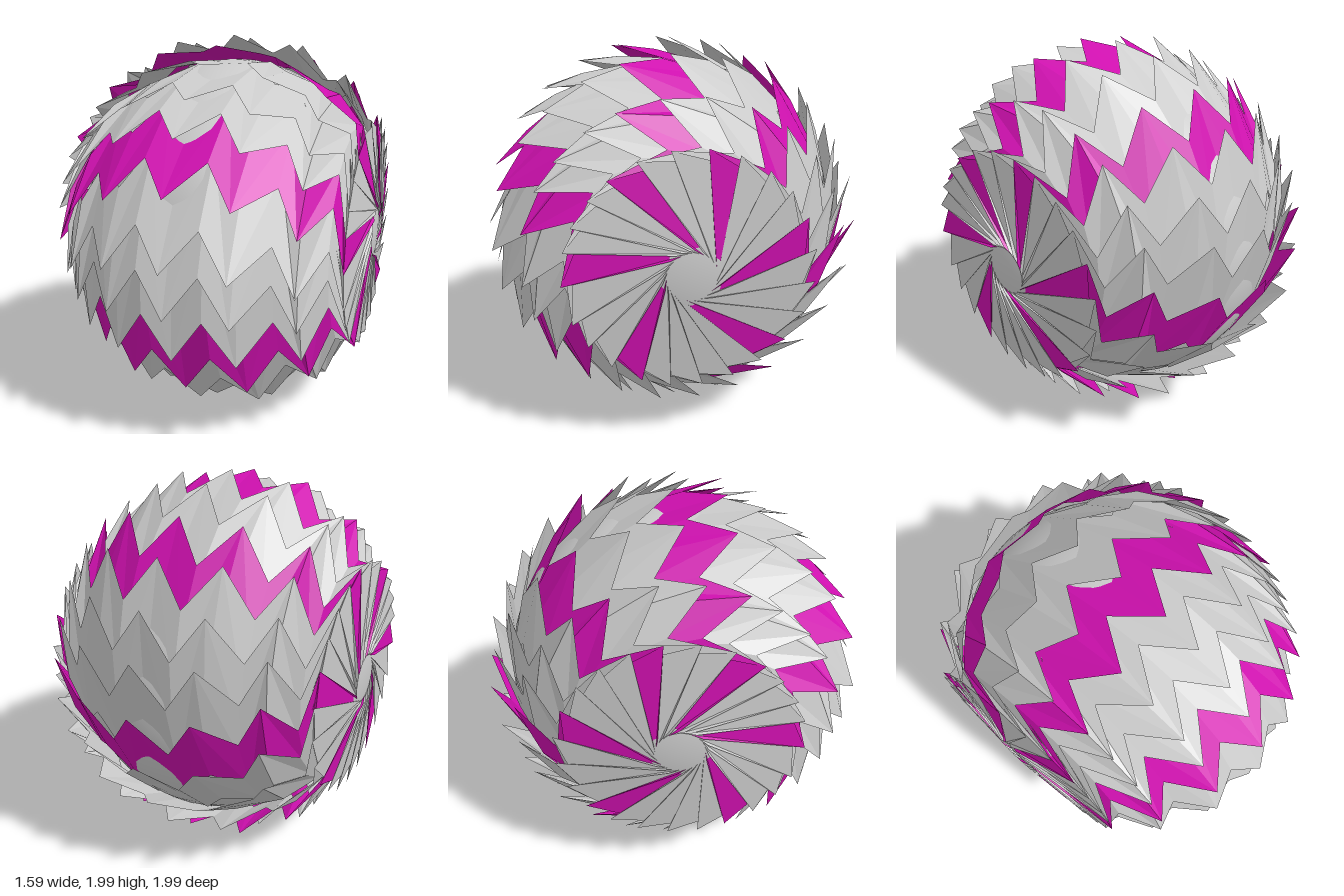
import * as THREE from 'three';

const RAD = Math.PI / 180;

// Half of one pleated strip, from the middle to the pole.
// Each fold: free edge [x, radius, degrees], tucked edge [x, radius, degrees]
const FOLDS = [
  [[0, 0.995, 0], [0, 0.85, 25]],
  [[0.155, 0.91, 12], [0.155, 0.86, 37]],
  [[0.31, 0.955, -1.6], [0.305, 0.825, 23]],
  [[0.455, 0.775, 8.5], [0.45, 0.74, 34]],
  [[0.575, 0.805, -8], [0.565, 0.71, 17]],
  [[0.675, 0.595, 6], [0.665, 0.55, 33]],
  [[0.75, 0.61, -23], [0.735, 0.55, 3]],
  [[0.795, 0.14, 20], [0.782, 0.12, 45]],
];

// Strip directions around the x axis, grouped; the first of each group is coloured
const GROUPS = [
  [20, 36, 48, 62],
  [74, 89, 104],
  [120, 134, 149, 163],
  [178, 194, 210, 226],
  [242, 257, 272, 287, 302],
  [316, 332, 347, 360.5],
];

function stripGeometry() {
  const pos = [];
  const n = FOLDS.length - 1;
  const point = (i, edge) => {
    const [x, r, deg] = FOLDS[Math.abs(i)][edge];
    return [Math.sign(i) * x, r * Math.sin(deg * RAD), r * Math.cos(deg * RAD)];
  };
  for (let i = -n; i < n; i++) {
    const a = point(i, 0), b = point(i + 1, 0), c = point(i + 1, 1), d = point(i, 1);
    // the diagonal always starts at a pointed tip
    if (i % 2 === 0) pos.push(...a, ...b, ...c, ...a, ...c, ...d);
    else pos.push(...a, ...b, ...d, ...b, ...c, ...d);
  }
  const geo = new THREE.BufferGeometry();
  geo.setAttribute('position', new THREE.Float32BufferAttribute(pos, 3));
  geo.computeVertexNormals();
  return geo;
}

export function createModel() {
  const model = new THREE.Group();
  model.name = 'pleatedBall';

  const grey = new THREE.MeshStandardMaterial({ color: 0xcccccc, side: THREE.DoubleSide, flatShading: true });
  const magenta = new THREE.MeshStandardMaterial({ color: 0xd010b0, side: THREE.DoubleSide, flatShading: true });

  // Smooth flattened core that the strips are tucked into
  const core = new THREE.Mesh(
    new THREE.SphereGeometry(1, 64, 48).rotateZ(Math.PI / 2).scale(0.79, 0.868, 0.868),
    new THREE.MeshStandardMaterial({ color: 0xcccccc })
  );
  core.name = 'core';
  core.position.y = 1;
  model.add(core);

  // Overlapping zigzag strips
  const geo = stripGeometry();
  GROUPS.forEach((angles) => angles.forEach((deg, k) => {
    const strip = new THREE.Mesh(geo, k === 0 ? magenta : grey);
    strip.name = k === 0 ? 'colouredStrip' : 'greyStrip';
    strip.rotation.x = -deg * RAD;
    strip.position.y = 1;
    model.add(strip);
  }));

  return model;
}
